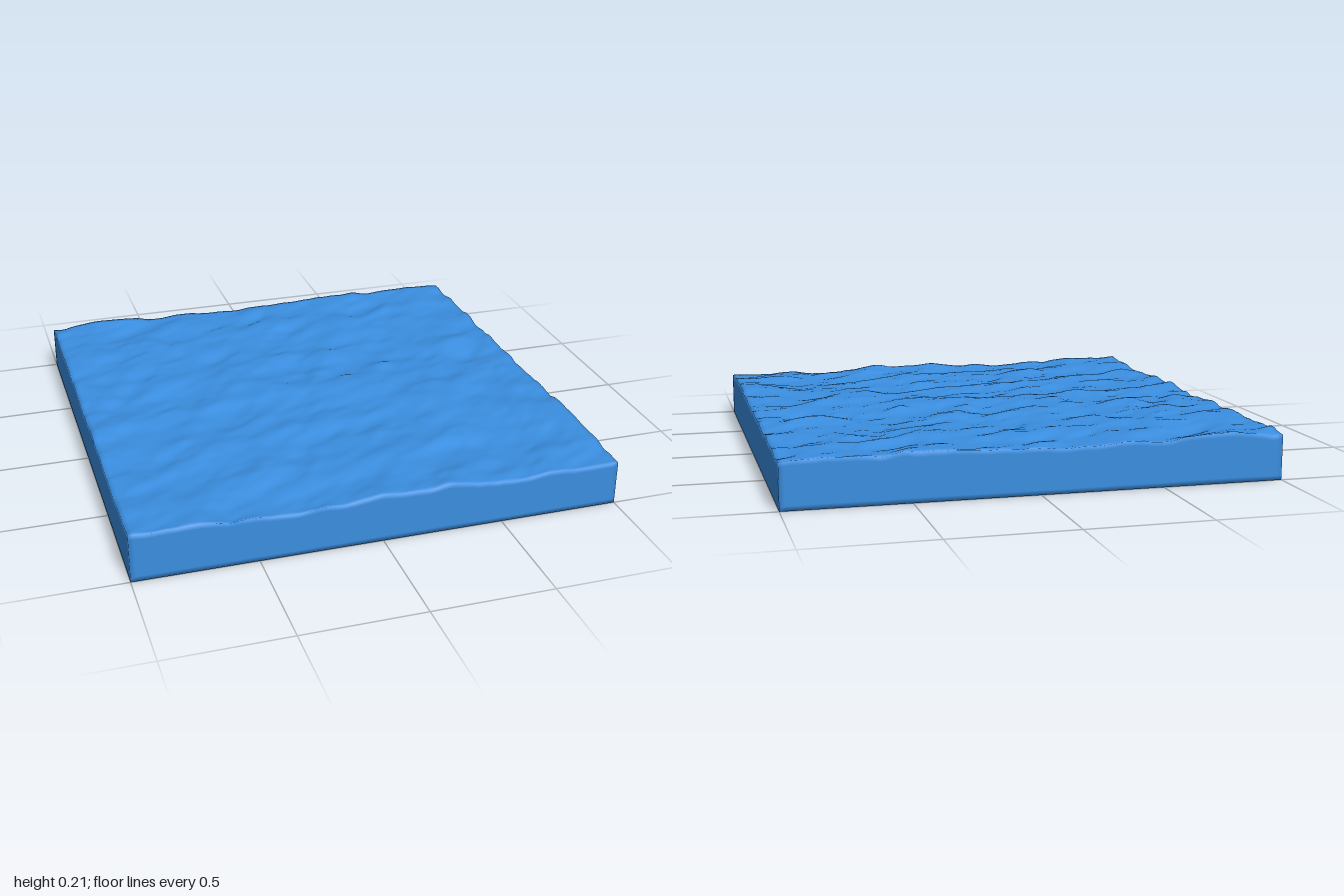
import * as THREE from 'three';
import { mergeVertices } from 'three/addons/utils/BufferGeometryUtils.js';

// Repeatable hash in 0..1 for a lattice point
function hash(i, j) {
  let h = Math.imul(i, 374761393) + Math.imul(j, 668265263);
  h = Math.imul(h ^ (h >>> 13), 1274126177);
  return ((h ^ (h >>> 16)) >>> 0) / 4294967295;
}

// Smooth value noise in -1..1
function noise(x, y) {
  const i = Math.floor(x), j = Math.floor(y);
  const ease = t => t * t * t * (t * (6 * t - 15) + 10);
  const u = ease(x - i), v = ease(y - j);
  const { lerp } = THREE.MathUtils;
  return 2 * lerp(
    lerp(hash(i, j), hash(i + 1, j), u),
    lerp(hash(i, j + 1), hash(i + 1, j + 1), u), v) - 1;
}

// Water height: octaves of noise stretched along a slanted wave direction
function waterHeight(x, z) {
  const along = 0.88 * x - 0.47 * z, across = 0.47 * x + 0.88 * z;
  let sum = 0;
  for (const [freq, amp] of [[4, 0.013], [8, 0.008], [16, 0.003]]) {
    sum += amp * noise(along * freq + 31.7, across * freq * 1.7 + 12.3);
  }
  return THREE.MathUtils.clamp(0.19 + sum, 0.168, 0.211);
}

export function createModel() {
  const group = new THREE.Group();
  group.name = 'waterTile';

  // Dense slab whose height follows the waves
  let geometry = new THREE.BoxGeometry(2, 1, 2, 100, 10, 100);
  geometry.deleteAttribute('normal');
  geometry.deleteAttribute('uv');
  geometry = mergeVertices(geometry);
  const pos = geometry.attributes.position;
  for (let i = 0; i < pos.count; i++) {
    const t = pos.getY(i) + 0.5;
    pos.setY(i, t * waterHeight(pos.getX(i), pos.getZ(i)));
  }
  geometry.computeVertexNormals();

  const water = new THREE.Mesh(geometry, new THREE.MeshStandardMaterial({ color: 0x3a8ee0 }));
  water.name = 'waterBlock';
  group.add(water);
  return group;
}
